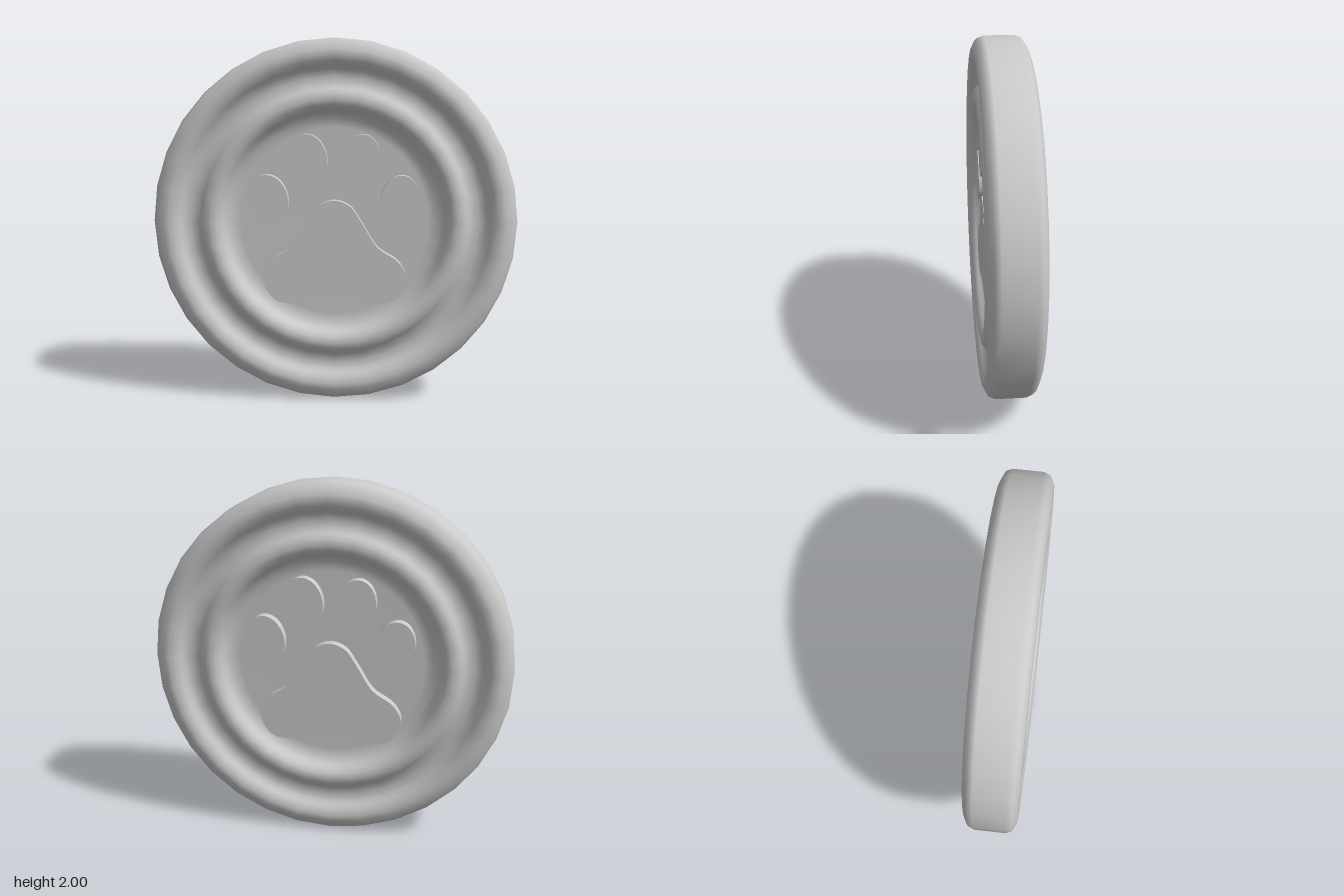
import * as THREE from 'three';

const material = new THREE.MeshStandardMaterial({ color: 0xcccccc });

// Half profile of the disc: [radius, height above the middle plane], from the centre out
const PROFILE = [
  [0, 0.055], [0.52, 0.055], [0.57, 0.062], [0.603, 0.085], [0.62, 0.115], [0.645, 0.137],
  [0.675, 0.143], [0.705, 0.137], [0.73, 0.12], [0.75, 0.097], [0.795, 0.085], [0.835, 0.097],
  [0.855, 0.12], [0.88, 0.138], [0.91, 0.145], [0.94, 0.143], [0.985, 0.12], [1, 0.085],
];
const FLOOR = 0.04;
const TOP = 0.11;

// Right half of the main pad outline, from the upper tip to the lower middle
const PAD = [
  [0, 0.12], [0.085, 0.09], [0.15, 0], [0.24, -0.14], [0.355, -0.22], [0.398, -0.31],
  [0.34, -0.43], [0.24, -0.457], [0.12, -0.433], [0, -0.42],
];

function raised(name, shape) {
  const geometry = new THREE.ExtrudeGeometry(shape, {
    depth: TOP - FLOOR, bevelEnabled: false, curveSegments: 24,
  });
  geometry.translate(0, 0, FLOOR);
  const mesh = new THREE.Mesh(geometry, material);
  mesh.name = name;
  return mesh;
}

function createPaw(name) {
  const paw = new THREE.Group();
  paw.name = name;

  // Main pad, mirrored across its middle
  const left = PAD.slice(1, -1).reverse().map(([x, y]) => [-x, y]);
  const points = [...PAD, ...left].map(([x, y]) => new THREE.Vector3(x, y, 0));
  const curve = new THREE.CatmullRomCurve3(points, true, 'centripetal');
  const outline = curve.getPoints(80).slice(0, -1).map((p) => new THREE.Vector2(p.x, p.y));
  paw.add(raised('mainPad', new THREE.Shape(outline)));

  // Four toes, leaning outwards
  for (const side of [-1, 1]) {
    for (const [toe, x, y, lean] of [['outerToe', 0.36, 0.117, 0.17], ['innerToe', 0.145, 0.34, 0.13]]) {
      const shape = new THREE.Shape();
      shape.absellipse(side * x, y, 0.107, 0.143, 0, Math.PI * 2, false, -side * lean);
      paw.add(raised(toe, shape));
    }
  }
  return paw;
}

export function createModel() {
  const model = new THREE.Group();
  model.name = 'pawMedallion';

  // Disc with rounded rim, groove, inner ring and sunken floor on both faces
  const back = PROFILE.map(([r, h]) => new THREE.Vector2(r, -h));
  const front = PROFILE.map(([r, h]) => new THREE.Vector2(r, h)).reverse();
  const geometry = new THREE.LatheGeometry([...back, ...front], 32);
  geometry.rotateX(Math.PI / 2);
  const disc = new THREE.Mesh(geometry, material);
  disc.name = 'disc';
  model.add(disc);

  // The same raised paw on each face
  const frontPaw = createPaw('frontPaw');
  const backPaw = createPaw('backPaw');
  backPaw.rotation.y = Math.PI;
  model.add(frontPaw, backPaw);

  for (const part of model.children) part.position.y = 1;
  return model;
}
